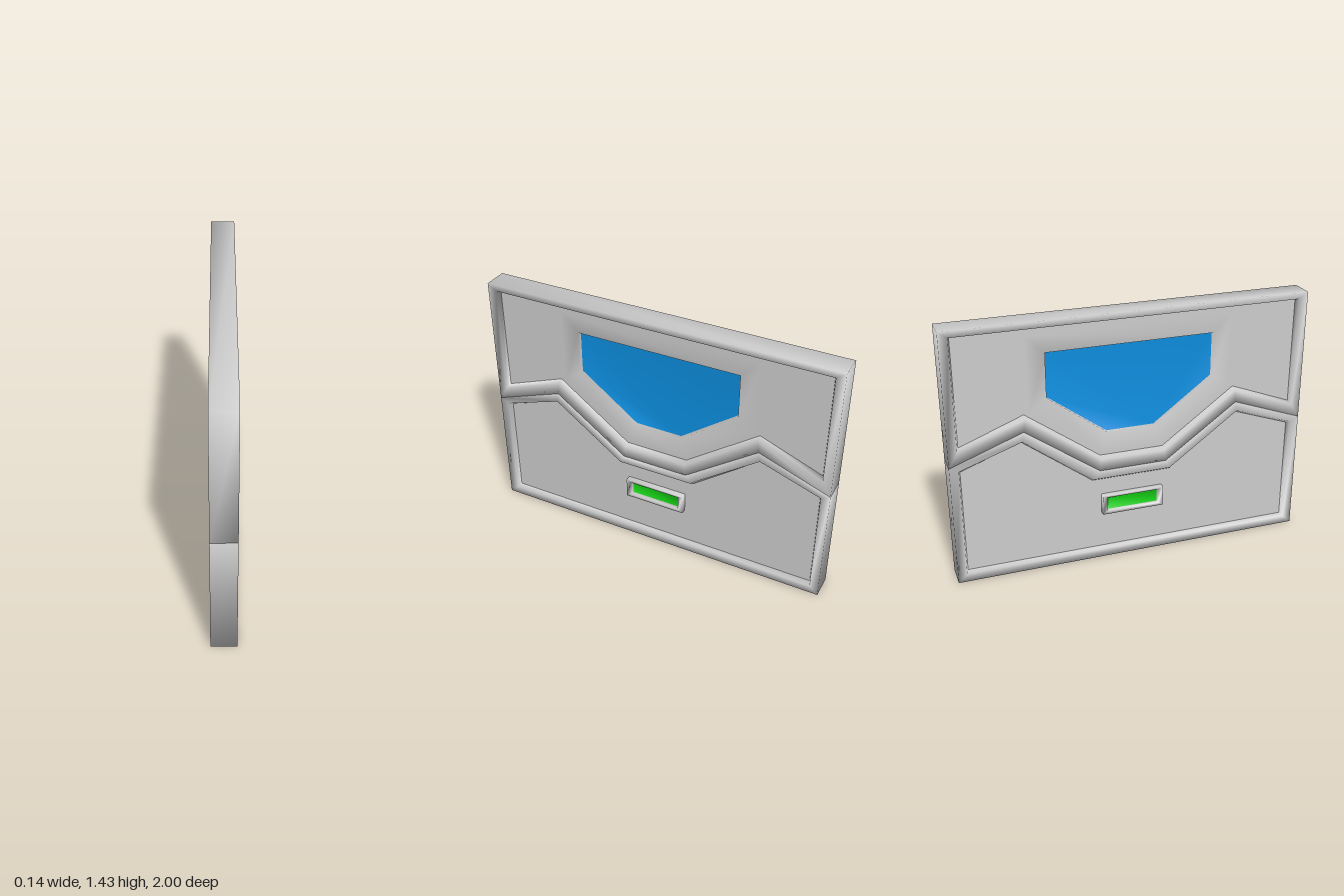
import * as THREE from 'three';

const paint = (color) => new THREE.MeshStandardMaterial({ color });
const grey = paint(0xcccccc);
const blue = paint(0x0d8fe0);
const green = paint(0x14d214);

const FACE = 0.068;   // half thickness of the door
const PANEL = 0.038;  // depth of the sunken panels

// Closed counter-clockwise loop from its right half, listed bottom to top
const mirrored = (half) => [...half, ...half.map(([u, y]) => [-u, y]).reverse()];

// Smooth skin through loops given as { x, half }, ordered from inner to outer
function skin(loops) {
  const positions = [];
  const index = [];
  const n = loops[0].half.length * 2;
  loops.forEach(({ x, half }, i) => {
    mirrored(half).forEach(([u, y], j) => {
      positions.push(x, y, -u);
      if (i === 0) return;
      const k = (j + 1) % n;
      const a = (i - 1) * n;
      const b = i * n;
      index.push(a + j, b + j, b + k, a + j, b + k, a + k);
    });
  });
  const geometry = new THREE.BufferGeometry();
  geometry.setAttribute('position', new THREE.Float32BufferAttribute(positions, 3));
  geometry.setIndex(index);
  return geometry;
}

function addMesh(parent, name, geometry, material) {
  const mesh = new THREE.Mesh(geometry, material);
  mesh.name = name;
  parent.add(mesh);
  return mesh;
}

// Recess whose first loop is closed by a coloured pane with softly shared normals
function addRecess(parent, name, paneName, loops, material) {
  const surround = skin(loops);
  const sides = Array.from(surround.index.array);
  const cap = [];
  for (let i = 1; i < loops[0].half.length * 2 - 1; i++) cap.push(0, i, i + 1);
  surround.setIndex([...sides, ...cap]);
  surround.computeVertexNormals();
  const pane = surround.clone();
  surround.setIndex(sides);
  pane.setIndex(cap);
  addMesh(parent, name, surround, grey);
  addMesh(parent, paneName, pane, material);
}

// Flat sunken panel, with an optional opening
function addPanel(parent, name, half, holeHalf) {
  const points = (h) => mirrored(h).map(([u, y]) => new THREE.Vector2(u, y));
  const shape = new THREE.Shape(points(half));
  if (holeHalf) shape.holes.push(new THREE.Path(points(holeHalf)));
  const geometry = new THREE.ShapeGeometry(shape);
  geometry.rotateY(Math.PI / 2).translate(PANEL, 0, 0);
  addMesh(parent, name, geometry, grey);
}

// Raised rim around one door half, running over both faces
function addFrame(parent, name, { outer, rim, inner }) {
  const geometry = skin([
    { x: PANEL, half: inner },
    { x: FACE, half: rim },
    { x: FACE, half: outer },
    { x: -FACE, half: outer },
    { x: -FACE, half: rim },
    { x: -PANEL, half: inner },
  ]);
  geometry.computeVertexNormals();
  addMesh(parent, name, geometry, grey);
}

const upper = {
  outer: [[0.19, 0.545], [0.6, 0.84], [1, 0.693], [1, 1.43]],
  rim: [[0.18, 0.61], [0.59, 0.91], [0.95, 0.775], [0.95, 1.395]],
  inner: [[0.18, 0.625], [0.59, 0.925], [0.94, 0.79], [0.94, 1.385]],
};
const lower = {
  outer: [[1, 0], [1, 0.693], [0.6, 0.84], [0.19, 0.545]],
  rim: [[0.95, 0.045], [0.95, 0.668], [0.61, 0.785], [0.215, 0.497]],
  inner: [[0.94, 0.055], [0.94, 0.652], [0.61, 0.77], [0.225, 0.478]],
};
const windowEdge = [[0.135, 0.755], [0.465, 1.0], [0.465, 1.25]];
const windowSurround = [[0.17, 0.64], [0.56, 0.925], [0.57, 1.35]];

const rect = (u, y0, y1) => [[u, y0], [u, y1]];

export function createModel() {
  const door = new THREE.Group();
  door.name = 'slidingDoor';

  addFrame(door, 'upperFrame', upper);
  addFrame(door, 'lowerFrame', lower);

  // Both faces carry the same panels, window and light
  for (const [name, turn] of [['leftFace', 0], ['rightFace', Math.PI]]) {
    const face = new THREE.Group();
    face.name = name;
    face.rotation.y = turn;

    addPanel(face, 'upperPanel', upper.inner, windowSurround);
    addPanel(face, 'lowerPanel', lower.inner);

    addRecess(face, 'windowSurround', 'windowPane', [
      { x: 0.012, half: windowEdge },
      { x: PANEL, half: windowEdge },
      { x: PANEL, half: windowSurround },
    ], blue);

    addRecess(face, 'lightHousing', 'statusLight', [
      { x: 0.05, half: rect(0.145, 0.29, 0.37) },
      { x: 0.071, half: rect(0.148, 0.287, 0.373) },
      { x: 0.071, half: rect(0.176, 0.27, 0.385) },
      { x: PANEL, half: rect(0.176, 0.27, 0.385) },
    ], green);

    door.add(face);
  }
  return door;
}
